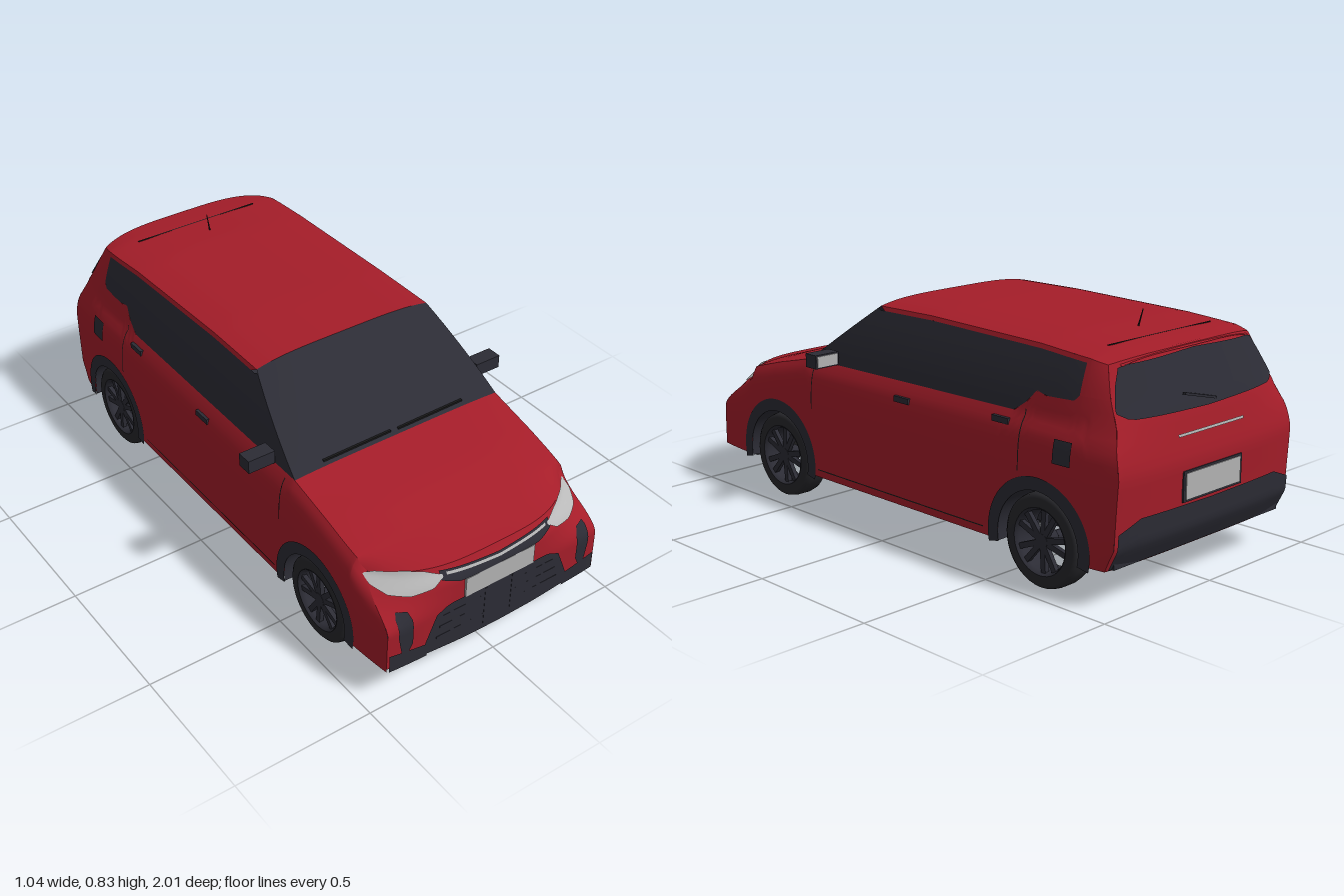
import * as THREE from 'three';

const paint = (name, color) => new THREE.MeshStandardMaterial({ name, color, side: THREE.DoubleSide });

// piecewise-linear curve through [position, value] pairs, ascending
const curve = (...p) => (v) => {
  if (v <= p[0][0]) return p[0][1];
  for (let i = 1; i < p.length; i++) {
    if (v <= p[i][0]) return THREE.MathUtils.mapLinear(v, p[i - 1][0], p[i][0], p[i - 1][1], p[i][1]);
  }
  return p[p.length - 1][1];
};
const lerp = THREE.MathUtils.lerp, smooth = THREE.MathUtils.smoothstep;

// body lines
const WHEELS = [0.625, -0.675], WHEEL_Y = 0.155, ARCH = 0.175;
const shoulder = curve([0.47, 0.54], [0.65, 0.497], [0.8, 0.455], [0.97, 0.412]);
const windowLow = curve([-0.79, 0.635], [-0.775, 0.617], [-0.66, 0.612], [-0.62, 0.622], [-0.59, 0.585], [-0.54, 0.548], [0.47, 0.54]);
const roofEdge = curve([-0.97, 0.732], [-0.6, 0.757], [-0.1, 0.768], [0.16, 0.765], [0.47, 0.54]);
const tail = curve([0.13, -0.95], [0.2, -0.985], [0.3, -0.99], [0.42, -0.997], [0.58, -0.965], [0.75, -0.895]);
const crownHeight = curve([-0.97, 0.02], [0.16, 0.02], [0.47, 0.006], [0.7, 0.02]);
const crown = (u, z) => crownHeight(z) * (1 - u ** 4);
const sill = (z) => {
  for (const c of WHEELS) if (Math.abs(z - c) < ARCH) return WHEEL_Y + Math.sqrt(ARCH ** 2 - (z - c) ** 2);
  return 0.125;
};
// half width of the body at a length and height
const bodyX = (z, y) => {
  const d = shoulder(z) - y;
  const taper = 0.02 * (Math.max(0, Math.abs(z) - 0.7) / 0.27) ** 2;
  return (d > 0 ? 0.45 - 0.035 * Math.exp(-d / 0.04) : 0.415 + 0.18 * d - 0.5 * d * d) - taper;
};
// nose and tail faces, u runs from -1 to 1 across the car
const noseZ = (u, y) => 0.998 - 0.03 * smooth(y, 0.37, 0.45) - (0.012 + 0.138 * smooth(y, 0.27, 0.42)) * Math.abs(u) ** 3.5;
const tailZ = (u, y) => tail(y) + (0.015 + 0.03 * smooth(y, 0.45, 0.65)) * u ** 4;
// pulls the ends of the body onto the nose and tail faces
const warp = (z, u, y) => {
  if (z > 0.8) return lerp(0.8, noseZ(u, y), (z - 0.8) / 0.17);
  if (z < -0.8) return lerp(-0.8, tailZ(u, y), (-0.8 - z) / 0.17);
  return z;
};

export function createModel() {
  const red = paint('red paint', 0xa51d29), dark = paint('dark trim and glass', 0x2c2c35);
  const black = paint('black underside', 0x1a1a1a), rubber = paint('tyre rubber', 0x27272b);
  const silver = paint('silver', 0xb3b3b3), lens = paint('lamp lens', 0xbababa);
  const car = new THREE.Group();
  car.name = 'car';

  const add = (name, geo, mat, x = 0, y = 0, z = 0, parent = car) => {
    const m = new THREE.Mesh(geo, mat);
    m.name = name;
    m.position.set(x, y, z);
    parent.add(m);
    return m;
  };
  const box = (name, mat, w, h, d, x, y, z) => add(name, new THREE.BoxGeometry(w, h, d), mat, x, y, z);
  // smooth sheet from a rule f(s, t) -> [x, y, z]
  const sheet = (name, mat, ns, nt, f) => {
    const pos = [], idx = [];
    for (let i = 0; i <= ns; i++) for (let j = 0; j <= nt; j++) {
      pos.push(...f(i / ns, j / nt));
      if (i < ns && j < nt) {
        const a = i * (nt + 1) + j, b = a + nt + 1;
        idx.push(a, b, a + 1, b, b + 1, a + 1);
      }
    }
    const g = new THREE.BufferGeometry();
    g.setAttribute('position', new THREE.Float32BufferAttribute(pos, 3));
    g.setIndex(idx);
    g.computeVertexNormals();
    return add(name, g, mat);
  };
  // mirrored pair of side sheets between two height curves
  const sidePair = (name, mat, z0, z1, lo, hi, ns, nt, out = 0) => {
    for (const k of [-1, 1]) sheet(name, mat, ns, nt, (s, t) => {
      const z = lerp(z0, z1, s), y = lerp(lo(z), hi(z), t);
      return [k * (bodyX(z, y) + out), y, warp(z, 1, y)];
    });
  };

  // painted shell
  sidePair('bodySide', red, -0.97, 0.97, sill, (z) => (z > 0.47 ? shoulder(z) : windowLow(z)), 194, 14);
  const glassTop = (z) => Math.max(windowLow(z), roofEdge(z) - (z < 0.155 ? 0.014 : 0));
  sidePair('sideGlass', dark, -0.79, 0.47, windowLow, glassTop, 80, 6);
  sidePair('roofRail', red, -0.79, 0.16, glassTop, roofEdge, 40, 1);
  sidePair('rearPillar', red, -0.97, -0.79, windowLow, roofEdge, 10, 8);
  const topSheet = (name, mat, z0, z1, edge, n) => sheet(name, mat, n, 32, (s, t) => {
    const z = lerp(z0, z1, s), u = t * 2 - 1, e = edge(z), y = e + crown(u, z);
    return [u * bodyX(z, e), y, warp(z, u, y)];
  });
  topSheet('hood', red, 0.47, 0.97, shoulder, 24);
  topSheet('windshield', dark, 0.47, 0.16, roofEdge, 10);
  topSheet('roof', red, 0.16, -0.97, roofEdge, 30);
  const noseTop = (u) => shoulder(0.97) + crown(u, 0.97), tailTop = (u) => roofEdge(-0.97) + crown(u, -0.97);
  sheet('frontFascia', red, 64, 24, (s, t) => {
    const u = s * 2 - 1, y = lerp(0.137, noseTop(u), t);
    return [u * bodyX(0.97, y), y, noseZ(u, y)];
  });
  sheet('tailgate', red, 40, 24, (s, t) => {
    const u = s * 2 - 1, y = lerp(0.125, tailTop(u), t);
    return [u * bodyX(-0.97, Math.min(y, roofEdge(-0.97))), y, tailZ(u, y)];
  });

  // thin plates lying on the nose or tail, between two curves over x
  const plate = (name, mat, end, x0, x1, lo, hi, out = 0.006) => sheet(name, mat, 28, 8, (s, t) => {
    const x = lerp(x0, x1, s), y = lerp(lo(Math.abs(x)), hi(Math.abs(x)), t), u = x / bodyX(0.97 * end, y);
    return [x * 1.008, y, end > 0 ? noseZ(u, y) + out : tailZ(u, y) - out];
  });
  const at = (y) => () => y;

  // front details
  plate('grille', dark, 1, -0.29, 0.29, curve([0, 0.122], [0.15, 0.126], [0.29, 0.136]), curve([0, 0.305], [0.2, 0.303], [0.25, 0.28], [0.29, 0.18]));
  for (const y of [0.185, 0.225, 0.265]) box('grilleBar', dark, 0.5 - (y - 0.185) * 0.6, 0.008, 0.012, 0, y, 0.998);
  for (const x of [-0.055, 0.055]) box('grillePost', dark, 0.008, 0.15, 0.012, x, 0.22, 0.999);
  plate('noseBand', dark, 1, -0.22, 0.22, curve([0, 0.372], [0.16, 0.375], [0.22, 0.395]), curve([0, 0.41], [0.22, 0.422]));
  plate('noseStrip', silver, 1, -0.2, 0.2, curve([0, 0.397], [0.2, 0.408]), curve([0, 0.405], [0.2, 0.416]), 0.009);
  box('frontPlate', silver, 0.28, 0.075, 0.008, 0, 0.337, 1.0);
  const lampLow = curve([0.212, 0.403], [0.25, 0.378], [0.32, 0.366], [0.38, 0.373], [0.408, 0.392]);
  const lampHigh = curve([0.212, 0.41], [0.26, 0.426], [0.31, 0.431], [0.38, 0.422], [0.408, 0.41]);
  for (const k of [-1, 1]) {
    plate('headlight', lens, 1, k * 0.212, k * 0.408, lampLow, lampHigh);
    plate('frontVent', dark, 1, k * 0.335, k * 0.388, curve([0.335, 0.21], [0.35, 0.18], [0.375, 0.18], [0.388, 0.25]),
      curve([0.335, 0.3], [0.345, 0.328], [0.38, 0.332], [0.388, 0.315]), 0.004);
    plate('bumperCorner', dark, 1, k * 0.28, k * 0.42, at(0.125), curve([0.28, 0.175], [0.42, 0.192]), 0.004);
  }

  // rear details
  plate('rearGlass', dark, -1, -0.375, 0.375, curve([0, 0.57], [0.34, 0.58], [0.375, 0.6]), curve([0, 0.742], [0.3, 0.73], [0.33, 0.72], [0.375, 0.61]));
  plate('rearBumper', dark, -1, -0.42, 0.42, at(0.13), curve([0, 0.28], [0.33, 0.285], [0.42, 0.25]), 0.007);
  box('rearPlate', silver, 0.27, 0.085, 0.008, 0, 0.34, -0.998);
  box('rearPlateFrame', dark, 0.29, 0.1, 0.006, 0, 0.34, -0.996);
  plate('tailgateStrip', silver, -1, -0.16, 0.16, at(0.498), at(0.507));
  box('rearWiper', dark, 0.16, 0.008, 0.01, 0.04, 0.605, -0.967).rotation.z = 0.25;
  sheet('rearSpoiler', red, 20, 2, (s, t) => {
    const u = s * 2 - 1;
    return [u * 0.31, tailTop(u) + 0.002 - 0.008 * t, -0.885 + 0.02 * u * u - 0.02 * t];
  });

  // side details
  for (const k of [-1, 1]) {
    for (const [z, y] of [[-0.045, 0.49], [-0.5, 0.513]]) box('doorHandle', dark, 0.014, 0.02, 0.07, k * bodyX(z, y), y, z);
    box('mirrorArm', dark, 0.05, 0.025, 0.03, k * 0.425, 0.557, 0.335);
    box('mirrorHousing', dark, 0.1, 0.048, 0.055, k * 0.469, 0.569, 0.337);
    box('mirrorGlass', silver, 0.086, 0.038, 0.004, k * 0.47, 0.569, 0.308);
    box('wiper', black, 0.27, 0.006, 0.008, k * 0.15 - 0.01, 0.558, 0.456).rotation.z = 0.012;
  }
  sidePair('fuelDoor', dark, -0.805, -0.735, at(0.425), at(0.5), 4, 4, 0.004);
  sidePair('frontDoorSeam', black, 0.428, 0.432, at(0.37), at(0.53), 1, 10, 0.002);
  sidePair('rearDoorSeam', black, -0.592, -0.588, at(0.37), at(0.56), 1, 10, 0.002);
  sidePair('sillSeam', black, -0.44, 0.4, at(0.15), at(0.154), 20, 1, 0.002);

  // wheel arches and wheels
  for (const c of WHEELS) for (const k of [-1, 1]) {
    sheet('archCladding', dark, 40, 3, (s, t) => {
      const a = lerp(-0.21, Math.PI + 0.21, s), r = lerp(0.168, 0.212, t);
      const y = WHEEL_Y + r * Math.sin(a), z = c + r * Math.cos(a);
      return [k * (bodyX(z, y) + 0.003), y, z];
    });
    sheet('wheelTunnel', dark, 24, 1, (s, t) => {
      const a = lerp(-0.2, Math.PI + 0.2, s), y = WHEEL_Y + 0.172 * Math.sin(a), z = c + 0.172 * Math.cos(a);
      return [k * lerp(0.26, bodyX(z, y), t), y, z];
    });
    const wall = add('wheelWellWall', new THREE.CircleGeometry(0.172, 24, 0, Math.PI), dark, k * 0.26, WHEEL_Y, c);
    wall.rotation.y = Math.PI / 2;

    const wheel = new THREE.Group();
    wheel.name = 'wheel';
    wheel.position.set(k * 0.393, WHEEL_Y, c);
    wheel.rotation.z = -k * Math.PI / 2;
    const ring = (...p) => new THREE.LatheGeometry(p.map(([r, h]) => new THREE.Vector2(r, h)), 40);
    add('tyre', ring([0.108, -0.045], [0.14, -0.045], [0.151, -0.037], [0.155, -0.02], [0.155, 0.02], [0.151, 0.037], [0.14, 0.045], [0.108, 0.045]), rubber, 0, 0, 0, wheel);
    add('rim', ring([0.1, -0.045], [0.1, 0.03], [0.108, 0.046], [0.112, 0.044]), dark, 0, 0, 0, wheel);
    add('hub', new THREE.CylinderGeometry(0.024, 0.03, 0.05, 20), dark, 0, 0.012, 0, wheel);
    for (let i = 0; i < 10; i++) {
      const a = i * Math.PI / 5 + (i % 2 ? -0.08 : 0.08);
      const spoke = add('spoke', new THREE.BoxGeometry(0.09, 0.016, 0.019), dark, 0.062 * Math.cos(a), 0.028, -0.062 * Math.sin(a), wheel);
      spoke.rotation.y = a;
    }
    car.add(wheel);
  }

  // underside
  box('floorCentre', black, 0.56, 0.012, 1.43, 0, 0.125, 0.235);
  box('floorMiddle', black, 0.87, 0.012, 0.9, 0, 0.126, -0.03);
  box('rearFloor', dark, 0.54, 0.03, 0.48, 0, 0.16, -0.71);
  box('rearValance', dark, 0.82, 0.02, 0.1, 0, 0.14, -0.905);
  box('frontValance', dark, 0.8, 0.02, 0.13, 0, 0.14, 0.89);
  for (const k of [-1, 1]) box('frontLinerFoot', dark, 0.13, 0.04, 0.05, k * 0.35, 0.13, 0.835);
  for (const c of WHEELS) {
    const axle = add('axle', new THREE.CylinderGeometry(0.02, 0.02, 0.74, 12), dark, 0, WHEEL_Y, c);
    axle.rotation.z = Math.PI / 2;
  }

  // roof aerial and hatch seam
  const aerial = add('aerial', new THREE.CylinderGeometry(0.0015, 0.003, 0.06, 8), black, 0, 0.802, -0.692);
  aerial.rotation.x = -0.3;
  box('hatchSeam', black, 0.5, 0.003, 0.004, 0, 0.764, -0.775);

  return car;
}
